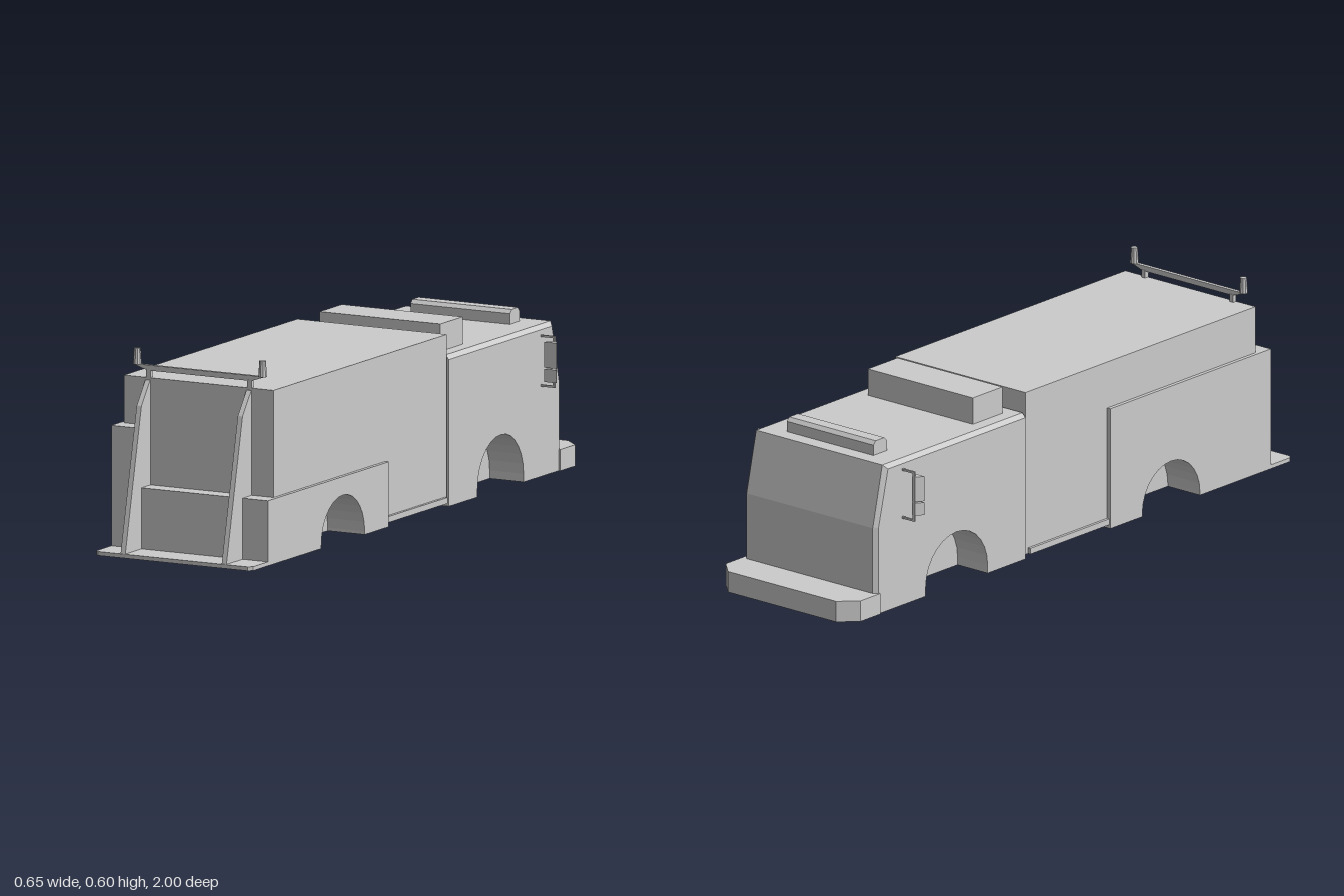
import * as THREE from 'three';

const mat = new THREE.MeshStandardMaterial({ color: 0xcccccc, flatShading: true });

export function createModel() {
  const root = new THREE.Group();

  const add = (name, geo, parent = root) => {
    const mesh = new THREE.Mesh(geo, mat);
    mesh.name = name;
    parent.add(mesh);
    return mesh;
  };

  // Box given by its limits on each axis
  const box = (x0, x1, y0, y1, z0, z1) =>
    new THREE.BoxGeometry(x1 - x0, y1 - y0, z1 - z0)
      .translate((x0 + x1) / 2, (y0 + y1) / 2, (z0 + z1) / 2);

  const shapeOf = (pts) => new THREE.Shape(pts.map(([a, b]) => new THREE.Vector2(a, b)));

  // Side profile of [z, y] points, extruded across from x0 to x1
  const across = (pts, x0, x1, steps = 1) =>
    new THREE.ExtrudeGeometry(shapeOf(pts.map(([z, y]) => [-z, y])), { depth: x1 - x0, steps, bevelEnabled: false })
      .rotateY(Math.PI / 2).translate(x0, 0, 0);

  // Plan outline of [x, z] points, extruded upwards from y0 to y1
  const upward = (pts, y0, y1) =>
    new THREE.ExtrudeGeometry(shapeOf(pts.map(([x, z]) => [x, -z])), { depth: y1 - y0, bevelEnabled: false })
      .rotateX(-Math.PI / 2).translate(0, y0, 0);

  // Mirrored copy in x, with the triangle winding restored
  const mirror = (geo) => {
    const g = geo.index ? geo.toNonIndexed() : geo.clone();
    const p = g.attributes.position;
    const a = new THREE.Vector3(), b = new THREE.Vector3();
    for (let i = 0; i < p.count; i++) p.setX(i, -p.getX(i));
    for (let i = 0; i < p.count; i += 3) {
      a.fromBufferAttribute(p, i + 1);
      b.fromBufferAttribute(p, i + 2);
      p.setXYZ(i + 1, b.x, b.y, b.z);
      p.setXYZ(i + 2, a.x, a.y, a.z);
    }
    g.computeVertexNormals();
    return g;
  };
  const pair = (name, geo, parent) => {
    add('left' + name, geo, parent);
    add('right' + name, mirror(geo), parent);
  };

  // Wheel arch points, running from the back of the arch to its front
  const arch = (zc, yc, r, n = 14) => {
    const pts = [[zc + r, 0]];
    for (let i = 0; i <= n; i++) {
      const t = (i / n) * Math.PI;
      pts.push([zc + r * Math.cos(t), yc + r * Math.sin(t)]);
    }
    pts.push([zc - r, 0]);
    return pts;
  };
  const frontArch = arch(-0.51, 0.025, 0.14);
  const rearArch = arch(0.45, 0.01, 0.13);

  // Cab: solid core plus sides with wheel arches and chamfered roof and front edges
  const cabTop = [[-0.875, 0], [-0.875, 0.267], [-0.832, 0.453], [-0.199, 0.453], [-0.199, 0]];
  add('cabCore', across(cabTop, -0.14, 0.14));
  const cabSide = across([...cabTop, ...frontArch], 0.14, 0.257, 2);
  const p = cabSide.attributes.position;
  for (let i = 0; i < p.count; i++) {
    const x = p.getX(i);
    if (x > 0.25) {
      if (p.getY(i) > 0.4) p.setY(i, p.getY(i) - 0.013);
      if (p.getZ(i) < -0.8) p.setZ(i, p.getZ(i) + 0.012);
    } else if (x > 0.15) p.setX(i, 0.245);
  }
  cabSide.computeVertexNormals();
  pair('CabSide', cabSide);

  // Front bumper with cut corners
  add('frontBumper', upward([[-0.262, -0.86], [0.262, -0.86], [0.262, -0.95], [0.21, -1], [-0.21, -1], [-0.262, -0.95]], 0, 0.064));

  // Roof equipment
  add('roofUnit', box(-0.204, 0.204, 0.44, 0.535, -0.375, -0.242));
  add('roofLightBar', across([[-0.722, 0.45], [-0.722, 0.485], [-0.733, 0.496],
    [-0.772, 0.496], [-0.783, 0.485], [-0.783, 0.45]], -0.168, 0.168));

  // Rear body
  const bodyProfile = [[0.845, 0], [0.845, 0.516], [-0.194, 0.516], [-0.194, 0.012], [0.175, 0.012], [0.175, 0]];
  add('bodyCore', across(bodyProfile, -0.14, 0.14));
  pair('BodySide', across([...bodyProfile, ...rearArch.slice().reverse()], 0.14, 0.253));
  pair('SideStep', box(0.24, 0.262, 0.012, 0.03, -0.182, 0.175));

  // Side lockers: low on one side, tall on the other
  const locker = (h) => across([[0.9, 0], [0.9, h], [0.175, h], [0.175, 0], ...rearArch.slice().reverse()], 0.165, 0.265);
  add('leftLocker', locker(0.195));
  add('rightLocker', mirror(locker(0.373)));

  // Tail: centre locker, step plate and two upright fins
  add('rearLocker', box(-0.17, 0.17, 0, 0.195, 0.84, 0.9));
  add('rearStep', upward([[-0.265, 0.84], [0.265, 0.84], [0.265, 0.988], [0.253, 1], [-0.253, 1], [-0.265, 0.988]], 0, 0.012));
  pair('RearFin', across([[0.84, 0.005], [0.998, 0.005], [0.9, 0.44], [0.848, 0.509], [0.84, 0.509]], 0.163, 0.179));

  // Rear beacon rail on two posts
  const rail = new THREE.Group();
  rail.name = 'beaconRail';
  root.add(rail);
  const railShape = shapeOf([[-0.175, 0.537], [0.175, 0.537], [0.225, 0.553], [-0.225, 0.553]]);
  add('railBar', new THREE.ExtrudeGeometry(railShape, { depth: 0.012, bevelEnabled: false }).translate(0, 0, 0.832), rail);
  pair('RailPost', box(0.164, 0.178, 0.51, 0.54, 0.831, 0.845), rail);
  pair('Beacon', new THREE.CylinderGeometry(0.01, 0.013, 0.048, 10).translate(0.212, 0.576, 0.838), rail);

  // Wing mirrors: bracket of thin bars and two wedge-shaped heads
  const mirrors = new THREE.Group();
  mirrors.name = 'wingMirrors';
  root.add(mirrors);
  pair('MirrorUpperArm', box(0.25, 0.305, 0.419, 0.425, -0.757, -0.751), mirrors);
  pair('MirrorLowerArm', box(0.25, 0.305, 0.27, 0.276, -0.757, -0.751), mirrors);
  pair('MirrorUpright', box(0.299, 0.305, 0.27, 0.425, -0.757, -0.751), mirrors);
  const wedge = [[0.28, -0.732], [0.323, -0.732], [0.307, -0.757], [0.297, -0.757]];
  pair('MirrorHead', upward(wedge, 0.332, 0.409), mirrors);
  pair('LowerMirrorHead', upward(wedge, 0.289, 0.328), mirrors);

  return root;
}
